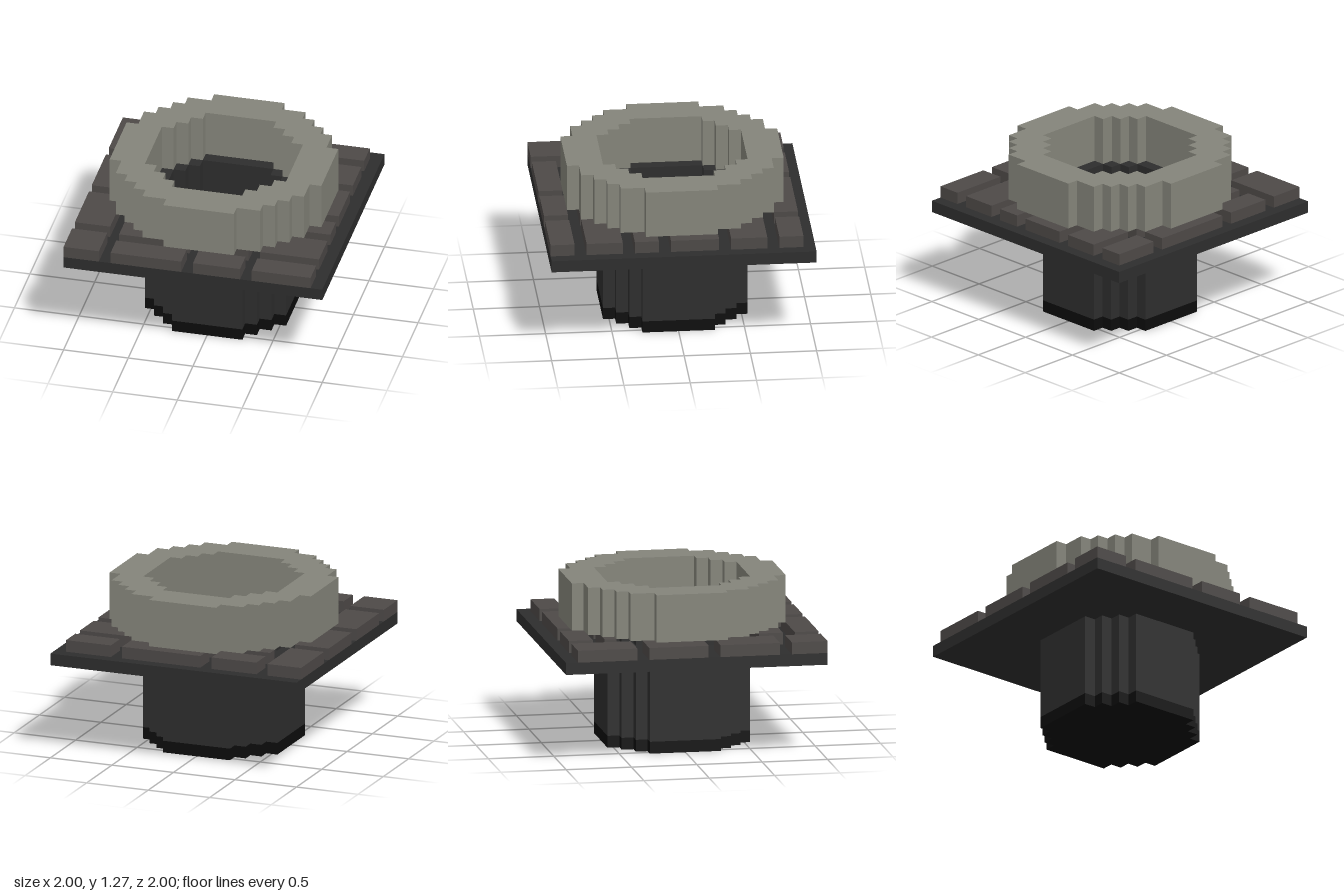
import * as THREE from 'three';

const U = 1 / 11; // one grid cell

// Corner steps of each rounded outline: [half width x, reach z], in cells
const RING_OUTER = [[9, 3], [8, 5], [7, 6], [6, 7], [5, 8], [3, 9]];
const SHAFT_OUTER = [[6, 3], [5, 4], [4, 5], [3, 6]];
const SHAFT_INNER = [[5, 3], [4, 4], [3, 5]];
const SQUARE = [[11, 11]];

// Full stepped outline, mirrored from one quadrant
function outline(steps) {
  const quarter = [];
  steps.forEach(([x, z], i) => {
    if (i > 0) quarter.push([x, steps[i - 1][1]]);
    quarter.push([x, z]);
  });
  const flip = (sx, sz) => quarter.map(([x, z]) => [x * sx, z * sz]);
  const pts = [
    ...flip(1, 1), ...flip(-1, 1).reverse(),
    ...flip(-1, -1), ...flip(1, -1).reverse(),
  ];
  return pts.map(([x, z]) => new THREE.Vector2(x * U, z * U));
}

// Upright slab from y0 to y1 with an optional hole
function slab(name, material, outer, inner, y0, y1) {
  const shape = new THREE.Shape(outline(outer));
  if (inner) shape.holes.push(new THREE.Path(outline(inner)));
  const geo = new THREE.ExtrudeGeometry(shape, { depth: (y1 - y0) * U, bevelEnabled: false });
  geo.rotateX(-Math.PI / 2);
  geo.translate(0, y0 * U, 0);
  const mesh = new THREE.Mesh(geo, material);
  mesh.name = name;
  return mesh;
}

export function createModel() {
  const stone = new THREE.MeshStandardMaterial({ name: 'paleStone', color: 0x84847a });
  const brick = new THREE.MeshStandardMaterial({ name: 'brownBrick', color: 0x4d4947 });
  const dark = new THREE.MeshStandardMaterial({ name: 'darkMortar', color: 0x2d2d2d });
  const black = new THREE.MeshStandardMaterial({ name: 'blackBottom', color: 0x0c0c0c });

  const model = new THREE.Group();
  model.name = 'well';
  model.add(
    slab('shaftFloor', black, SHAFT_OUTER, null, 0, 1),
    slab('shaftWall', dark, SHAFT_OUTER, SHAFT_INNER, 1, 10),
    slab('groundPlate', dark, SQUARE, SHAFT_OUTER, 8, 9),
    slab('stoneRim', stone, RING_OUTER, SHAFT_OUTER, 10, 14),
  );

  // Paving bricks: x0, x1, z0, z1 in cells
  const paving = new THREE.Group();
  paving.name = 'pavingBricks';
  const bricks = [
    // left-hand column
    [-11, -8, -10, -5], [-11, -8, -4, 1], [-11, -8, 2, 7], [-11, -8, 8, 11],
    // back rows
    [-7, -3, -10, -8], [-2, 5, -10, -8], [6, 10, -10, -8],
    [-7, -3, -7, -6], [-2, 5, -7, -6], [6, 10, -7, -4],
    // side rows
    [6, 10, -3, 1], [6, 10, 2, 4],
    // front rows
    [-7, -1, 6, 8], [0, 4, 6, 8], [5, 10, 5, 8],
    [-7, -1, 9, 11], [0, 4, 9, 11], [5, 10, 9, 11],
  ];
  for (const [x0, x1, z0, z1] of bricks) {
    const mesh = new THREE.Mesh(new THREE.BoxGeometry((x1 - x0) * U, U, (z1 - z0) * U), brick);
    mesh.position.set((x0 + x1) / 2 * U, 9.5 * U, (z0 + z1) / 2 * U);
    mesh.name = 'brick';
    paving.add(mesh);
  }
  model.add(paving);
  return model;
}
